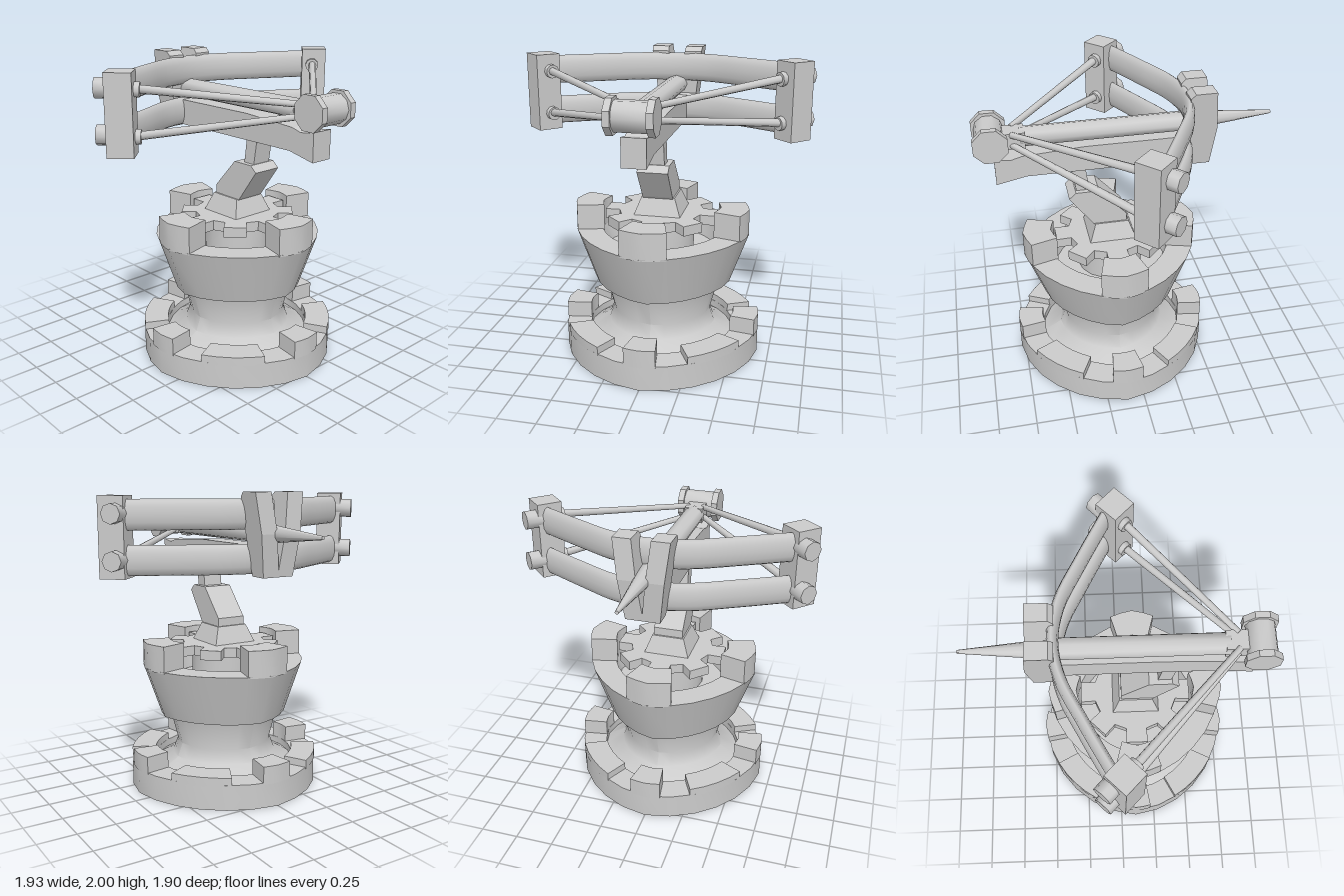
import * as THREE from 'three';
import { toCreasedNormals } from 'three/addons/utils/BufferGeometryUtils.js';

const CZ = 0.11; // z of the tower axis
const mat = new THREE.MeshStandardMaterial({ color: 0xcccccc });
const V = (x, y, z) => new THREE.Vector3(x, y, z);
const rad = THREE.MathUtils.degToRad;

function add(parent, name, geometry, x = 0, y = 0, z = 0) {
  const mesh = new THREE.Mesh(geometry, mat);
  mesh.name = name;
  mesh.position.set(x, y, z);
  parent.add(mesh);
  return mesh;
}

// Radius factor that pulls the diagonals of the tower in a little
const squarish = (a, k) => 1 - k * Math.abs(Math.sin(2 * a));

// Turned body, with its diagonals pulled in by k
function turned(points, k, segments = 24) {
  const g = new THREE.LatheGeometry(points.map(([r, y]) => new THREE.Vector2(r, y)), segments);
  const p = g.attributes.position;
  for (let i = 0; i < p.count; i++) {
    const f = squarish(Math.atan2(p.getX(i), p.getZ(i)), k);
    p.setX(i, p.getX(i) * f);
    p.setZ(i, p.getZ(i) * f);
  }
  return toCreasedNormals(g, rad(40));
}

// Block standing on a round wall between two radii
function merlon(mid, half, rIn, rOut, y0, y1, k) {
  const pts = [];
  const arc = (r, dir) => {
    for (let i = -2; i <= 2; i++) {
      const a = mid + dir * half * i / 2;
      const f = r * squarish(a, k);
      pts.push(new THREE.Vector2(f * Math.cos(a), f * Math.sin(a)));
    }
  };
  arc(rOut, 1);
  arc(rIn, -1);
  const g = new THREE.ExtrudeGeometry(new THREE.Shape(pts), { depth: y1 - y0, bevelEnabled: false });
  return toCreasedNormals(g.rotateX(-Math.PI / 2).translate(0, y0, 0), rad(40));
}

// Side profile given as [z, y], widened along x
function sideProfile(points, width) {
  const shape = new THREE.Shape(points.map(([z, y]) => new THREE.Vector2(z, y)));
  const g = new THREE.ExtrudeGeometry(shape, { depth: width, bevelEnabled: false });
  return g.translate(0, 0, -width / 2).rotateY(-Math.PI / 2);
}

// Round bar from a to b
function bar(parent, name, a, b, ra, rb, sides = 8) {
  const g = new THREE.CylinderGeometry(rb, ra, a.distanceTo(b), sides);
  const mesh = add(parent, name, toCreasedNormals(g, rad(50)));
  mesh.position.copy(a).add(b).multiplyScalar(0.5);
  mesh.quaternion.setFromUnitVectors(V(0, 1, 0), b.clone().sub(a).normalize());
  return mesh;
}

function buildTower() {
  const tower = new THREE.Group();
  tower.name = 'tower';
  tower.position.z = CZ;
  // Ring wall with a hollow underside, flared waist
  add(tower, 'baseWall', turned([[0, 0.1], [0.53, 0.1], [0.53, 0], [0.67, 0], [0.67, 0.17],
    [0.5, 0.17], [0.5, 0.12], [0.37, 0.2], [0.335, 0.29], [0.39, 0.5]], 0.04));
  // Flaring upper bowl with a sunken floor
  add(tower, 'upperBowl', turned([[0, 0.5], [0.465, 0.5], [0.59, 0.85], [0.41, 0.85],
    [0.38, 0.72], [0, 0.72]], 0.08));
  for (let i = 0; i < 4; i++) {
    const a = i * Math.PI / 2;
    add(tower, 'tallBaseMerlon', merlon(a, rad(9), 0.5, 0.67, 0.16, 0.28, 0.04));
    add(tower, 'lowBaseMerlon', merlon(a + Math.PI / 4, rad(18), 0.5, 0.67, 0.16, 0.22, 0.04));
    add(tower, 'bowlMerlon', merlon(a, rad(15.5), 0.4, 0.588, 0.84, 1.02, 0.08));
  }

  // Turning gear with eight teeth on a drum
  const teeth = [];
  for (let i = 0; i < 8; i++) {
    for (const [da, r] of [[-14, 0.28], [-11, 0.375], [11, 0.375], [14, 0.28]]) {
      const a = i * Math.PI / 4 + rad(da);
      teeth.push(new THREE.Vector2(r * Math.cos(a), r * Math.sin(a)));
    }
  }
  const gear = new THREE.ExtrudeGeometry(new THREE.Shape(teeth), { depth: 0.065, bevelEnabled: false });
  add(tower, 'gear', gear.rotateX(-Math.PI / 2), 0, 0.918, 0);
  add(tower, 'gearDrum', toCreasedNormals(new THREE.CylinderGeometry(0.22, 0.22, 0.22, 16), rad(40)), 0, 0.82, 0);

  // Square tapered pedestal
  const pedestal = new THREE.CylinderGeometry(0.11 * Math.SQRT2, 0.155 * Math.SQRT2, 0.12, 4);
  add(tower, 'pedestal', toCreasedNormals(pedestal.rotateY(Math.PI / 4), 0.5), 0, 1.04, 0);
  return tower;
}

function buildBow() {
  const bow = new THREE.Group();
  bow.name = 'bow';
  const path = new THREE.CatmullRomCurve3([[-0.83, -0.04], [-0.5, -0.215], [-0.23, -0.345],
    [0, -0.385], [0.23, -0.345], [0.5, -0.215], [0.83, -0.04]].map(([x, z]) => V(x, 0, z)));

  // Two flattened limbs, one above the other
  for (const y of [1.865, 1.59]) {
    add(bow, 'limb', new THREE.TubeGeometry(path, 32, 0.036, 12).scale(1, 2.6, 1), 0, y, 0);
  }

  for (const s of [-1, 1]) {
    const block = add(bow, 'limbEnd', new THREE.BoxGeometry(0.163, 0.5, 0.163), s * 0.83, 1.73, 0.005);
    block.rotation.y = Math.PI / 4;
    for (const [y, endY] of [[1.875, 1.785], [1.595, 1.715]]) {
      bar(bow, 'nut', V(s * 0.92, y, -0.125), V(s * 0.81, y, -0.02), 0.062, 0.062, 8);
      bar(bow, 'peg', V(s * 0.82, y, 0.0), V(s * 0.74, y - 0.005, 0.075), 0.045, 0.045, 10);
      bar(bow, 'string', V(s * 0.76, y, 0.06), V(s * 0.05, endY, 0.71), 0.026, 0.02, 8);
    }

    // Rear clamp post, leaning inwards towards its foot
    const post = sideProfile([[-0.37, 1.97], [-0.4, 2.0], [-0.535, 2.0], [-0.558, 1.75],
      [-0.53, 1.485], [-0.41, 1.485], [-0.39, 1.66]], 0.115);
    const p = post.attributes.position;
    for (let i = 0; i < p.count; i++) {
      p.setX(i, p.getX(i) + s * (0.052 + 0.065 * (p.getY(i) - 1.485) / 0.515));
    }
    post.computeVertexNormals();
    add(bow, 'clampPost', post);
  }
  bar(bow, 'rearSpike', V(0, 1.745, -0.38), V(0, 1.75, -0.955), 0.065, 0.011, 10);
  return bow;
}

function buildStock() {
  const stock = new THREE.Group();
  stock.name = 'stock';
  // Bent support arm and neck
  add(stock, 'supportArm', sideProfile([[0.22, 1.09], [0.24, 1.11], [0.385, 1.31], [0.34, 1.35],
    [0.19, 1.35], [0.012, 1.155], [0.012, 1.09]], 0.2));
  add(stock, 'neck', sideProfile([[0.33, 1.33], [0.36, 1.52], [0.27, 1.52], [0.245, 1.33]], 0.135));

  // Lower stock with a drooping front, guide rail above
  add(stock, 'lowerStock', sideProfile([[0.83, 1.46], [0.83, 1.64], [0.73, 1.625], [0.66, 1.645],
    [0.27, 1.67], [-0.42, 1.67], [-0.42, 1.5], [0.64, 1.5]], 0.15));
  const rail = bar(stock, 'guideRail', V(0, 1.745, -0.42), V(0, 1.745, 0.66), 0.072, 0.072, 8);
  rail.scale.z = 0.85;
  add(stock, 'railNose', new THREE.BoxGeometry(0.125, 0.105, 0.14), 0, 1.745, 0.7);

  // Front spool with two flanges
  const y = 1.763, z = 0.843;
  bar(stock, 'spool', V(-0.12, y, z), V(0.12, y, z), 0.092, 0.092, 10);
  for (const s of [-1, 1]) {
    const flange = new THREE.CylinderGeometry(0.114, 0.114, 0.042, 8);
    flange.rotateY(Math.PI / 8).rotateZ(Math.PI / 2);
    add(stock, 'spoolFlange', toCreasedNormals(flange, 0.5), s * 0.122, y, z);
  }
  return stock;
}

export function createModel() {
  const model = new THREE.Group();
  model.name = 'towerBallista';
  model.add(buildTower(), buildBow(), buildStock());
  return model;
}
